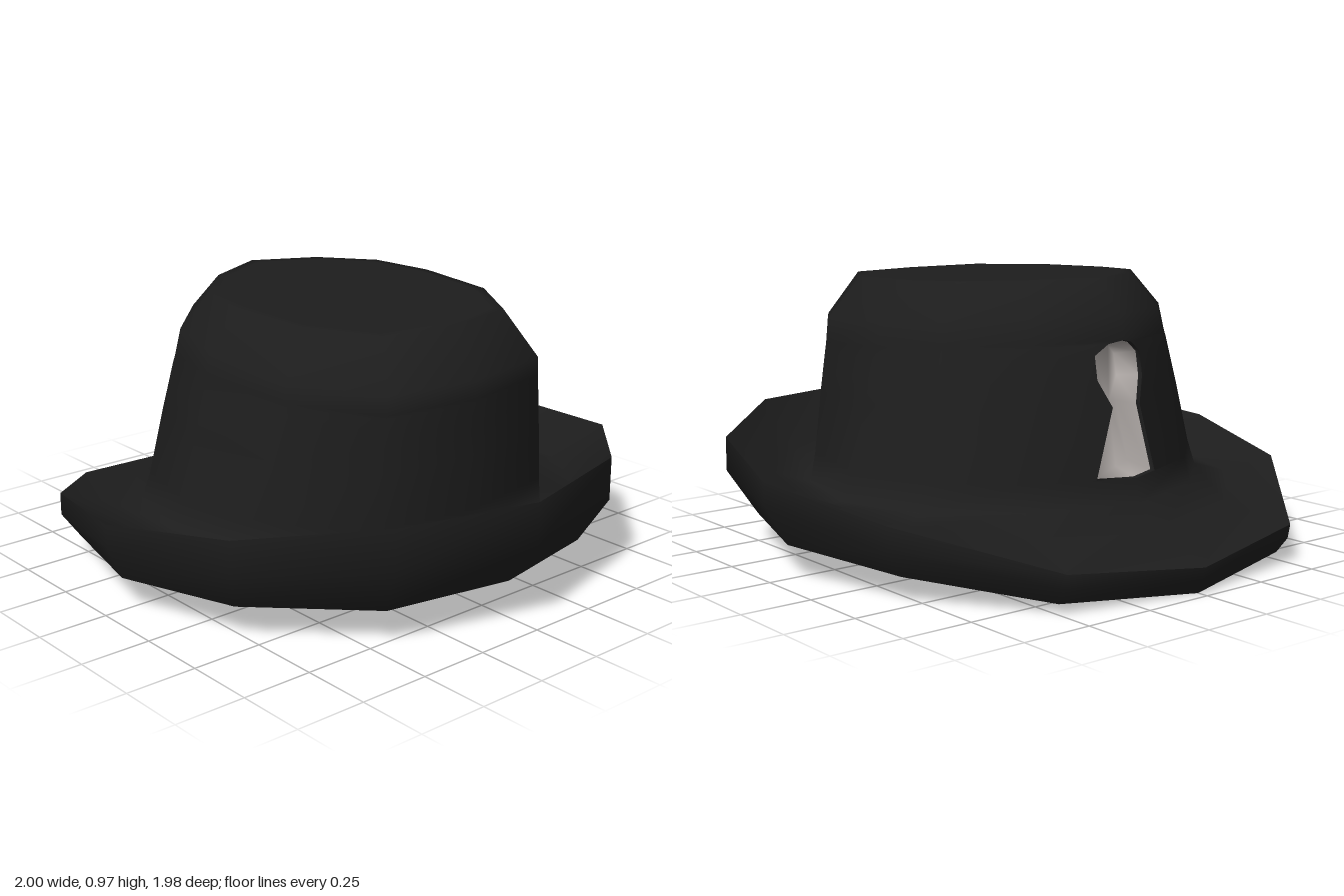
import * as THREE from 'three';
import { mergeVertices } from 'three/addons/utils/BufferGeometryUtils.js';

// Skins rows of [x, y, z] points; every row runs counterclockwise seen from above.
function loft(rows, closed = true) {
  const n = rows[0].length, index = [];
  const cols = closed ? n : n - 1;
  for (let i = 0; i < rows.length - 1; i++) {
    for (let j = 0; j < cols; j++) {
      const k = (j + 1) % n;
      const a = i * n + j, b = i * n + k, c = b + n, d = a + n;
      index.push(a, b, c, a, c, d);
    }
  }
  let geo = new THREE.BufferGeometry();
  geo.setAttribute('position', new THREE.Float32BufferAttribute(rows.flat(2), 3));
  geo.setIndex(index);
  geo = mergeVertices(geo, 1e-4);
  geo.computeVertexNormals();
  return geo;
}

// Half ring from front to back, mirrored into a full ring of twelve points.
const mirror = (half) => [
  ...half,
  ...half.slice(1, -1).reverse().map(([x, y, z]) => [-x, y, z]),
];
const point = (row, p) => row.map(() => p);

// Half outlines of the crown, pointed at the back: rounder low down, squarer in front at the top.
const LOW = [[0, 1], [0.57, 0.9], [0.88, 0.49], [1, 0], [0.89, -0.46], [0.53, -0.8], [0, -1]];
const HIGH = [[0, 1], [0.62, 0.93], [0.95, 0.53], [1, 0], [0.88, -0.45], [0.52, -0.79], [0, -1]];

function crownHalf([yBack, yFront, rx, zBack, zFront]) {
  const t = THREE.MathUtils.clamp((yBack - 0.24) / 0.62, 0, 1);
  return LOW.map(([u0, v0], i) => {
    const u = u0 + (HIGH[i][0] - u0) * t;
    const v = v0 + (HIGH[i][1] - v0) * t;
    return [u * rx, yBack + (yFront - yBack) * (v + 1) / 2, v > 0 ? v * zFront : -v * zBack];
  });
}

// Point on the back face of the crown at half-width w.
function backPoint(half, w) {
  const a = half[6], b = half[5], t = w / b[0];
  return a.map((v, i) => v + (b[i] - v) * t);
}

// Row left open at the back, between the two edges of the keyhole.
function openRow(half, w) {
  const edge = backPoint(half, w);
  const right = [edge, ...half.slice(1, 6).reverse()].map(([x, y, z]) => [-x, y, z]);
  return [...right, ...half.slice(0, 6), edge];
}

export function createModel() {
  const felt = new THREE.MeshStandardMaterial({ color: 0x1d1d1d });
  felt.name = 'darkFelt';
  const lining = new THREE.MeshStandardMaterial({ color: 0xaea8a5 });
  lining.name = 'paleLining';

  const group = new THREE.Group();
  group.name = 'hat';
  const add = (name, geo, mat) => {
    const mesh = new THREE.Mesh(geo, mat);
    mesh.name = name;
    group.add(mesh);
  };

  // Brim half rings: upper rim, dip between rim and crown, outer edge, bottom
  const rim = [
    [0, 0.44, 0.99], [0.5, 0.44, 0.86], [0.865, 0.39, 0.51], [1, 0.33, 0.025],
    [0.865, 0.26, -0.48], [0.5, 0.135, -0.9], [0, 0.09, -0.99],
  ];
  const dip = [
    [0, 0.29, 0.81], [0.47, 0.28, 0.73], [0.73, 0.26, 0.42], [0.81, 0.23, 0.01],
    [0.71, 0.21, -0.39], [0.42, 0.18, -0.68], [0, 0.17, -0.8],
  ];
  const outer = [
    [0, 0.29, 0.99], [0.5, 0.285, 0.86], [0.865, 0.27, 0.51], [1, 0.25, 0.025],
    [0.865, 0.18, -0.48], [0.5, 0.085, -0.89], [0, 0.05, -0.98],
  ];
  const bottom = mirror([
    [0, 0.13, 0.87], [0.45, 0.122, 0.77], [0.79, 0.12, 0.43], [0.93, 0.115, 0],
    [0.8, 0.085, -0.46], [0.49, 0.03, -0.85], [0, 0, -0.96],
  ]);

  // Crown rows: back y, front y, half width, back z, front z, keyhole half width
  const crownRows = [
    [0.24, 0.22, 0.71, -0.68, 0.70, 0],
    [0.325, 0.33, 0.675, -0.668, 0.70, 0],
    [0.325, 0.33, 0.675, -0.668, 0.70, 0.13],
    [0.56, 0.52, 0.62, -0.64, 0.70, 0.06],
    [0.65, 0.60, 0.597, -0.625, 0.70, 0.10],
    [0.73, 0.66, 0.578, -0.612, 0.70, 0.10],
    [0.765, 0.70, 0.568, -0.602, 0.70, 0.05],
    [0.775, 0.71, 0.566, -0.60, 0.70, 0],
    [0.86, 0.775, 0.55, -0.58, 0.70, 0],
    [0.97, 0.935, 0.44, -0.48, 0.59, 0],
  ];
  const halves = crownRows.map(crownHalf);

  // Crown and upper brim as one smooth skin, open at the keyhole
  const skin = [rim, dip].map((half) => openRow(half, 0));
  halves.forEach((half, i) => skin.push(openRow(half, crownRows[i][5])));
  const topRow = skin[skin.length - 1];
  skin.push(topRow.map(([x, y, z]) => [x * 0.92, y, 0.05 + (z - 0.05) * 0.92]));
  skin.push(point(topRow, [0, 0.953, 0.05]));
  add('crownAndBrimTop', loft(skin, false), felt);

  // Keyhole: thin felt lip, then a pale recess tapering inward
  const side = [2, 3, 4, 5, 6].map((i) => backPoint(halves[i], crownRows[i][5]));
  const contour = [
    halves[2][6], ...side, halves[7][6],
    ...side.slice().reverse().map(([x, y, z]) => [-x, y, z]),
  ];
  const inset = (sx, sy, dz) =>
    contour.map(([x, y, z]) => [x * sx, 0.56 + (y - 0.56) * sy, z + dz]);
  const lip = inset(0.96, 0.99, 0.015);
  add('keyholeLip', loft([lip, contour]), felt);
  add('keyholeLining',
    loft([point(contour, [0, 0.56, -0.53]), inset(0.75, 0.9, 0.1), lip]), lining);

  // Brim edge and closed underside, which levels out under the crown
  add('brimEdge', loft([bottom, mirror(outer), mirror(rim)]), felt);
  const level = bottom.map(([x, y, z]) => [x * 0.7, 0.115 + (y - 0.115) * 0.4, z * 0.7]);
  add('brimUnderside', loft([point(bottom, [0, 0.115, 0]), level, bottom]), felt);

  return group;
}
